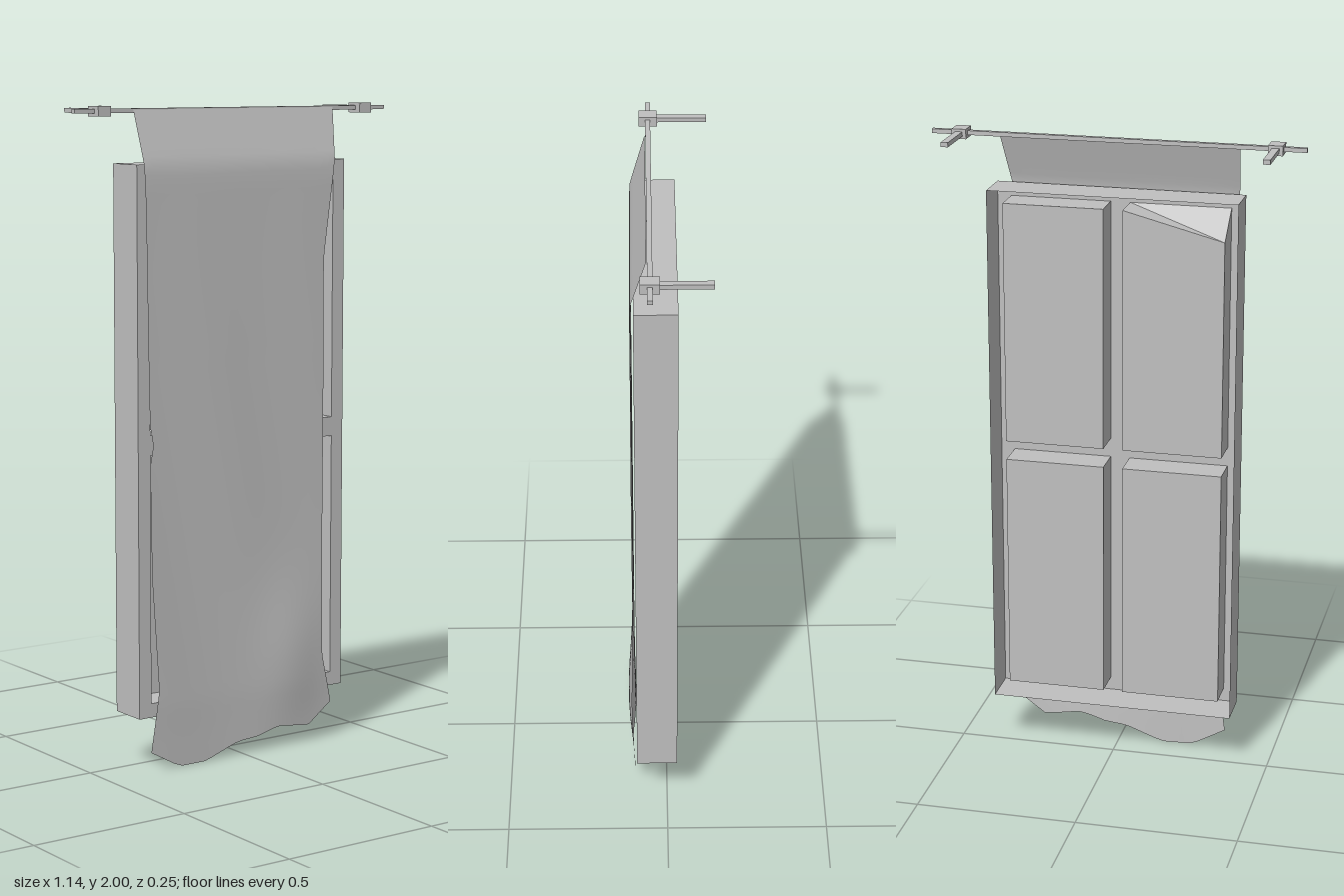
import * as THREE from 'three';

export function createModel() {
  const model = new THREE.Group();
  const grey = new THREE.MeshStandardMaterial({ color: 0xc0c0c0, side: THREE.DoubleSide });
  grey.name = 'plainGrey';

  function add(name, geometry) {
    const mesh = new THREE.Mesh(geometry, grey);
    mesh.name = name;
    model.add(mesh);
    return mesh;
  }

  // Box given by its minimum and maximum corners
  function box(name, x0, x1, y0, y1, z0, z1) {
    add(name, new THREE.BoxGeometry(x1 - x0, y1 - y0, z1 - z0))
      .position.set((x0 + x1) / 2, (y0 + y1) / 2, (z0 + z1) / 2);
  }

  // Open tray: four walls from a front outline to a back outline, with an optional floor.
  // Outlines list [x, y] corners anticlockwise from the lower left.
  function tray(name, front, zFront, back, zBack, floor) {
    const f = front.map(([x, y]) => [x, y, zFront]);
    const b = back.map(([x, y]) => [x, y, zBack]);
    const points = [];
    const quad = (p, q, r, s) => points.push(...p, ...q, ...r, ...p, ...r, ...s);
    for (let i = 0; i < 4; i++) {
      const j = (i + 1) % 4;
      quad(f[i], f[j], b[j], b[i]);
    }
    if (floor) quad(...b);
    const geometry = new THREE.BufferGeometry();
    geometry.setAttribute('position', new THREE.Float32BufferAttribute(points, 3));
    geometry.computeVertexNormals();
    add(name, geometry);
  }

  const corners = (x0, y0, x1, y1) => [[x0, y0], [x1, y0], [x1, y1], [x0, y1]];
  const vectors = (list) => list.map(([x, y]) => new THREE.Vector2(x, y));

  // Window frame: a hollow shell, open at the back, with four sunken panes
  const zFront = 0.095, zBack = -0.031, zPane = -0.006;
  const outline = corners(-0.383, 0.17, 0.383, 1.83);
  const face = new THREE.Shape(vectors(outline));
  for (const [x0, x1] of [[-0.34, -0.03], [0.03, 0.34]]) {
    for (const [y0, y1] of [[0.213, 0.97], [1.03, 1.787]]) {
      const opening = corners(x0, y0, x1, y1);
      face.holes.push(new THREE.Path(vectors(opening)));
      const floor = corners(x0, y0, x1, y1);
      // one upper pane has a dropped corner
      if (x0 < -0.1 && y0 > 1) floor[3][1] -= 0.08;
      tray('pane', opening, zFront, floor, zPane, true);
    }
  }
  add('frameFace', new THREE.ShapeGeometry(face)).position.z = zFront;
  tray('frameSides', outline, zFront, outline, zBack, false);

  // Curtain rod with a clamp and a wall arm at each end
  box('curtainRod', -0.57, 0.57, 1.979, 1.992, 0.041, 0.056);
  for (const s of [-1, 1]) {
    const x = s * 0.48;
    box('rodClamp', x - 0.022, x + 0.022, 1.97, 2, 0.021, 0.076);
    box('wallArm', x - 0.011, x + 0.011, 1.978, 1.992, -0.127, 0.03);
  }

  // Curtain: values along the drop are interpolated from a few points
  function along(points, t) {
    let i = 0;
    while (i < points.length - 2 && t > points[i + 1][0]) i++;
    const [a, b] = [points[i], points[i + 1]];
    return THREE.MathUtils.lerp(a[1], b[1], THREE.MathUtils.clamp((t - a[0]) / (b[0] - a[0]), 0, 1));
  }
  const leftEdge = [[0, -0.345], [0.06, -0.345], [0.25, -0.318], [0.6, -0.342], [0.94, -0.346],
    [1, -0.334], [1.06, -0.346], [1.7, -0.358], [1.83, -0.363], [1.988, -0.37]];
  const rightEdge = [[0.12, 0.338], [0.28, 0.298], [1.53, 0.298], [1.8, 0.335], [1.988, 0.365]];
  const hem = [[-0.345, 0.062], [-0.24, 0.003], [-0.14, 0.002], [-0.02, 0.045], [0.05, 0.05],
    [0.13, 0.073], [0.25, 0.055], [0.338, 0.12]];
  const hang = [[0, 0.098], [0.1, 0.1], [0.2, 0.103], [1.78, 0.106], [1.83, 0.104], [1.988, 0.058]];
  const curtain = new THREE.PlaneGeometry(1, 1, 24, 72);
  const pos = curtain.attributes.position;
  for (let i = 0; i < pos.count; i++) {
    const u = pos.getX(i) + 0.5, v = pos.getY(i) + 0.5;
    const bottom = along(hem, -0.345 + u * 0.683);
    const y = THREE.MathUtils.lerp(bottom, 1.988, v);
    const x = THREE.MathUtils.lerp(along(leftEdge, y), along(rightEdge, y), u);
    // soft fold low on one side, fading ripples elsewhere
    const bulge = 0.018 * Math.exp(-(((x - 0.18) / 0.12) ** 2) - ((y - 0.3) / 0.22) ** 2);
    const ripple = y < 1.75 ? 0.002 * Math.sin(x * 16 + y * 3) * Math.min(1, (1.75 - y) * 2) : 0;
    pos.setXYZ(i, x, y, along(hang, y) + bulge + ripple);
  }
  curtain.computeVertexNormals();
  add('curtain', curtain);

  return model;
}
